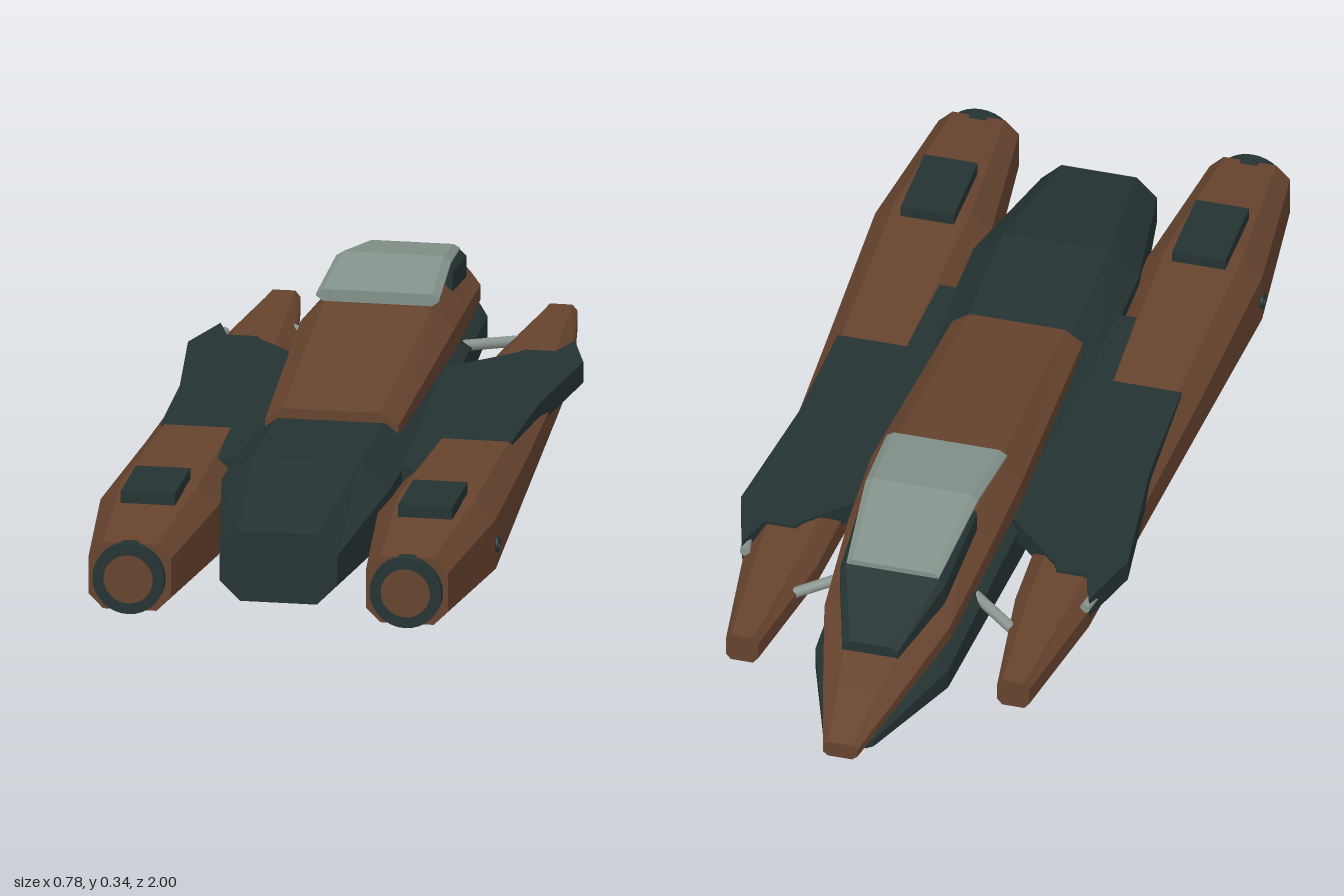
import * as THREE from 'three';

const mat = (name, color) => {
  const m = new THREE.MeshStandardMaterial({ color });
  m.name = name;
  return m;
};

// Chamfered box loft. Sections run from low z to high z: [z, halfWidth, yBottom, yTop, bevelX, bevelY]
function loft(sections, cx = 0) {
  const rings = sections.map(([z, w, y0, y1, bx, by]) => [
    [w, y0 + by], [w, y1 - by], [w - bx, y1], [bx - w, y1],
    [-w, y1 - by], [-w, y0 + by], [bx - w, y0], [w - bx, y0],
  ].map(([x, y]) => [x + cx, y, z]));
  const pos = [];
  const tri = (...pts) => pts.forEach((p) => pos.push(...p));
  for (let s = 0; s < rings.length - 1; s++) {
    const a = rings[s], b = rings[s + 1];
    for (let i = 0; i < 8; i++) {
      const j = (i + 1) % 8;
      tri(a[i], a[j], b[i]);
      tri(a[j], b[j], b[i]);
    }
  }
  const first = rings[0], last = rings[rings.length - 1];
  for (let i = 1; i < 7; i++) {
    tri(first[0], first[i + 1], first[i]);
    tri(last[0], last[i], last[i + 1]);
  }
  const g = new THREE.BufferGeometry();
  g.setAttribute('position', new THREE.Float32BufferAttribute(pos, 3));
  g.computeVertexNormals();
  return g;
}

export function createModel() {
  const brown = mat('rust brown', 0x66432e);
  const dark = mat('dark slate', 0x253333);
  const glass = mat('grey green glass', 0x83928a);
  const steel = mat('steel grey', 0x8b9590);

  const ship = new THREE.Group();
  ship.name = 'spaceship';
  const add = (name, geo, material, parent = ship) => {
    const m = new THREE.Mesh(geo, material);
    m.name = name;
    parent.add(m);
    return m;
  };
  const rod = (name, a, b, r, parent) => {
    const p = new THREE.Vector3(...a), q = new THREE.Vector3(...b);
    const d = q.clone().sub(p);
    const m = add(name, new THREE.CylinderGeometry(r, r, d.length(), 12), steel, parent);
    m.position.copy(p).add(q).multiplyScalar(0.5);
    m.quaternion.setFromUnitVectors(new THREE.Vector3(0, 1, 0), d.normalize());
  };

  // Dark lower fuselage
  add('lowerHull', loft([
    [-0.94, 0.05, 0.11, 0.14, 0.015, 0.008],
    [-0.7, 0.132, 0.06, 0.18, 0.05, 0.04],
    [-0.23, 0.15, 0.03, 0.2, 0.055, 0.045],
    [0.28, 0.163, 0.025, 0.215, 0.058, 0.045],
    [0.56, 0.165, 0.025, 0.222, 0.06, 0.05],
    [0.87, 0.115, 0.025, 0.165, 0.04, 0.04],
  ]), dark);

  // Brown upper fuselage with the long nose
  add('upperHull', loft([
    [-1, 0.034, 0.125, 0.158, 0.01, 0.008],
    [-0.87, 0.07, 0.135, 0.195, 0.03, 0.02],
    [-0.66, 0.125, 0.15, 0.25, 0.055, 0.035],
    [-0.42, 0.143, 0.165, 0.285, 0.045, 0.04],
    [-0.23, 0.15, 0.17, 0.295, 0.045, 0.04],
    [0.28, 0.13, 0.165, 0.235, 0.035, 0.025],
  ]), brown);

  // Canopy: dark base and folded glass
  add('canopyBase', loft([
    [-0.785, 0.055, 0.19, 0.24, 0.015, 0.01],
    [-0.62, 0.105, 0.23, 0.295, 0.012, 0.012],
    [-0.42, 0.113, 0.26, 0.322, 0.012, 0.012],
  ]), dark);
  add('canopyGlass', loft([
    [-0.62, 0.092, 0.289, 0.306, 0.012, 0.007],
    [-0.41, 0.112, 0.322, 0.345, 0.014, 0.009],
    [-0.23, 0.12, 0.298, 0.322, 0.014, 0.01],
  ]), glass);

  // Wings, engine pods and fittings on both sides
  for (const s of [1, -1]) {
    const side = new THREE.Group();
    side.name = s > 0 ? 'leftSide' : 'rightSide';
    ship.add(side);
    const cx = 0.27 * s;

    const outline = [
      [0.13, -0.24], [0.15, -0.26], [0.25, -0.36], [0.26, -0.38], [0.32, -0.38], [0.345, -0.455],
      [0.385, -0.32], [0.35, -0.03], [0.342, 0.225], [0.205, 0.225], [0.2, 0.43], [0.13, 0.43],
    ];
    const wing = new THREE.ExtrudeGeometry(
      new THREE.Shape(outline.map(([x, z]) => new THREE.Vector2(x * s, -z))),
      { depth: 0.042, bevelEnabled: false });
    wing.rotateX(-Math.PI / 2);
    wing.translate(0, 0.133, 0);
    add('wing', wing, dark, side);

    add('enginePod', loft([
      [-0.73, 0.032, 0.105, 0.163, 0.01, 0.012],
      [-0.45, 0.073, 0.08, 0.168, 0.03, 0.025],
      [0.23, 0.1, 0.038, 0.174, 0.035, 0.035],
      [0.65, 0.115, 0.01, 0.185, 0.04, 0.038],
      [0.98, 0.08, 0.03, 0.163, 0.028, 0.028],
    ], cx), brown, side);

    // Exhaust: dark ring round a brown disc
    const exhaust = new THREE.CylinderGeometry(0.07, 0.07, 0.03, 32);
    exhaust.rotateX(Math.PI / 2);
    add('exhaustRing', exhaust, dark, side).position.set(cx, 0.096, 0.983);
    const core = new THREE.CircleGeometry(0.048, 32);
    add('exhaustCore', core, brown, side).position.set(cx, 0.096, 0.9995);

    // Raised hatch on the pod
    add('podHatch', new THREE.BoxGeometry(0.106, 0.024, 0.172), dark, side)
      .position.set(cx, 0.194, 0.695);

    // Small port rings on the outer flank and belly
    const port = new THREE.TorusGeometry(0.012, 0.004, 6, 16);
    const flank = add('flankPort', port, dark, side);
    flank.rotation.y = Math.PI / 2;
    flank.position.set(0.388 * s, 0.096, 0.645);
    const belly = add('bellyPort', port, dark, side);
    belly.rotation.x = Math.PI / 2;
    belly.position.set(cx, 0.008, 0.66);

    // Braces between nose and pod, and the wing tip stub
    rod('brace', [0.12 * s, 0.15, -0.465], [0.24 * s, 0.14, -0.56], 0.011, side);
    rod('wingTipStub', [0.338 * s, 0.156, -0.46], [0.345 * s, 0.156, -0.42], 0.01, side);
  }
  return ship;
}
